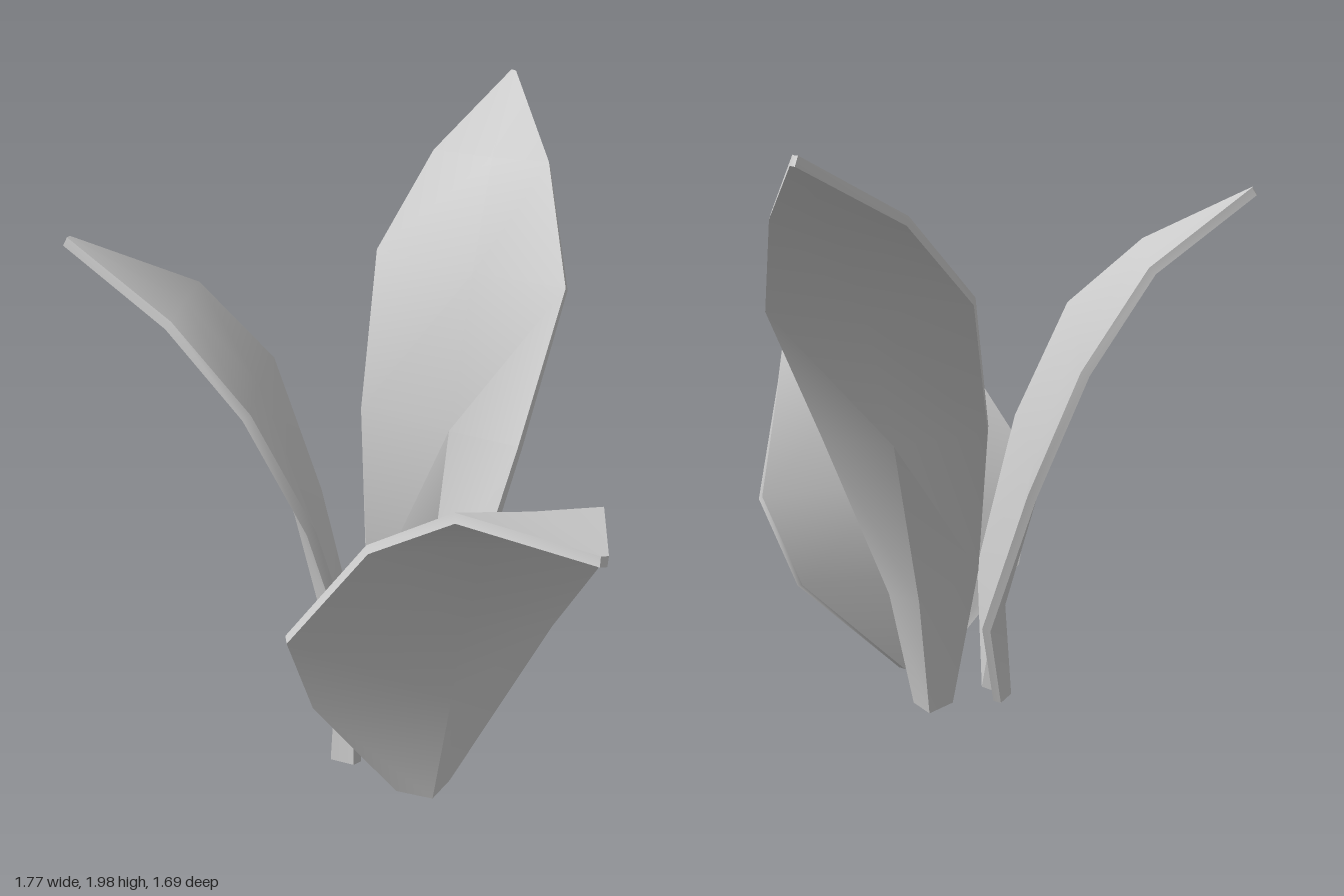
import * as THREE from 'three';
import { toCreasedNormals } from 'three/addons/utils/BufferGeometryUtils.js';

const THICKNESS = 0.028;
const COLS = 3;

// Each leaf: cross-sections from base to tip, as [edge, midrib, other edge]
const leaves = {
  backLeaf: [
    [[-0.15, 0.04, 0.28], [-0.12, 0.02, 0.21], [-0.05, 0.03, 0.225]],
    [[-0.26, 0.55, 0.25], [-0.13, 0.45, 0.12], [0.02, 0.42, 0.18]],
    [[-0.41, 1.09, 0.05], [-0.16, 1.03, -0.07], [0.08, 1.02, -0.1]],
    [[-0.5, 1.53, -0.18], [-0.2, 1.48, -0.27], [0.09, 1.46, -0.35]],
    [[-0.47, 1.79, -0.46], [-0.28, 1.78, -0.51], [-0.1, 1.78, -0.56]],
    [[-0.415, 1.985, -0.845], [-0.405, 1.985, -0.845], [-0.395, 1.985, -0.84]],
  ],
  rightLeaf: [
    [[-0.2, 0.055, 0.41], [-0.28, 0.045, 0.42], [-0.285, 0.045, 0.35]],
    [[-0.13, 0.45, 0.48], [-0.26, 0.37, 0.4], [-0.295, 0.34, 0.255]],
    [[-0.185, 0.95, 0.605], [-0.37, 0.89, 0.43], [-0.48, 0.85, 0.2]],
    [[-0.3, 1.32, 0.72], [-0.48, 1.29, 0.47], [-0.64, 1.26, 0.205]],
    [[-0.54, 1.55, 0.745], [-0.64, 1.545, 0.58], [-0.735, 1.54, 0.41]],
    [[-0.88, 1.74, 0.77], [-0.882, 1.74, 0.765], [-0.885, 1.74, 0.755]],
  ],
  leftLeaf: [
    [[0.09, 0.065, 0.34], [0.095, 0.055, 0.43], [0.005, 0.085, 0.485]],
    [[0.225, 0.47, -0.045], [0.12, 0.39, 0.36], [-0.17, 0.41, 0.655]],
    [[0.39, 0.73, -0.035], [0.2, 0.68, 0.42], [-0.14, 0.71, 0.795]],
    [[0.53, 1.04, 0.24], [0.35, 1.03, 0.52], [0.13, 1.055, 0.765]],
    [[0.69, 1.2, 0.49], [0.57, 1.22, 0.65], [0.43, 1.24, 0.795]],
    [[0.88, 1.255, 0.82], [0.875, 1.257, 0.83], [0.87, 1.26, 0.84]],
  ],
};

// Closed solid: the sheet pushed both ways along its normals, plus a rim
function leafGeometry(rows) {
  const id = (r, c) => r * COLS + c;
  const count = rows.length * COLS;
  const sheet = [];
  for (let r = 0; r < rows.length - 1; r++) {
    for (let c = 0; c < COLS - 1; c++) {
      const a = id(r, c), b = id(r, c + 1), d = id(r + 1, c), e = id(r + 1, c + 1);
      sheet.push(a, b, e, a, e, d);
    }
  }
  const mid = new THREE.BufferGeometry();
  mid.setAttribute('position', new THREE.Float32BufferAttribute(rows.flat(2), 3));
  mid.setIndex(sheet);
  mid.computeVertexNormals();

  const position = [];
  const p = new THREE.Vector3(), n = new THREE.Vector3();
  for (const side of [0.5, -0.5]) {
    for (let i = 0; i < count; i++) {
      p.fromBufferAttribute(mid.attributes.position, i);
      n.fromBufferAttribute(mid.attributes.normal, i);
      position.push(...p.addScaledVector(n, side * THICKNESS).toArray());
    }
  }

  const index = [...sheet];
  for (let i = 0; i < sheet.length; i += 3) {
    index.push(sheet[i] + count, sheet[i + 2] + count, sheet[i + 1] + count);
  }
  // Outline, anticlockwise as seen from the inner face
  const last = rows.length - 1;
  const loop = [];
  for (let c = 0; c < COLS; c++) loop.push(id(0, c));
  for (let r = 1; r < last; r++) loop.push(id(r, COLS - 1));
  for (let c = COLS - 1; c >= 0; c--) loop.push(id(last, c));
  for (let r = last - 1; r > 0; r--) loop.push(id(r, 0));
  loop.forEach((a, i) => {
    const b = loop[(i + 1) % loop.length];
    index.push(a, a + count, b + count, a, b + count, b);
  });

  const solid = new THREE.BufferGeometry();
  solid.setAttribute('position', new THREE.Float32BufferAttribute(position, 3));
  solid.setIndex(index);
  return toCreasedNormals(solid, 0.7);
}

export function createModel() {
  const group = new THREE.Group();
  group.name = 'leafCluster';
  const material = new THREE.MeshStandardMaterial({ color: 0xcccccc });
  for (const [name, rows] of Object.entries(leaves)) {
    const leaf = new THREE.Mesh(leafGeometry(rows), material);
    leaf.name = name;
    group.add(leaf);
  }
  return group;
}
